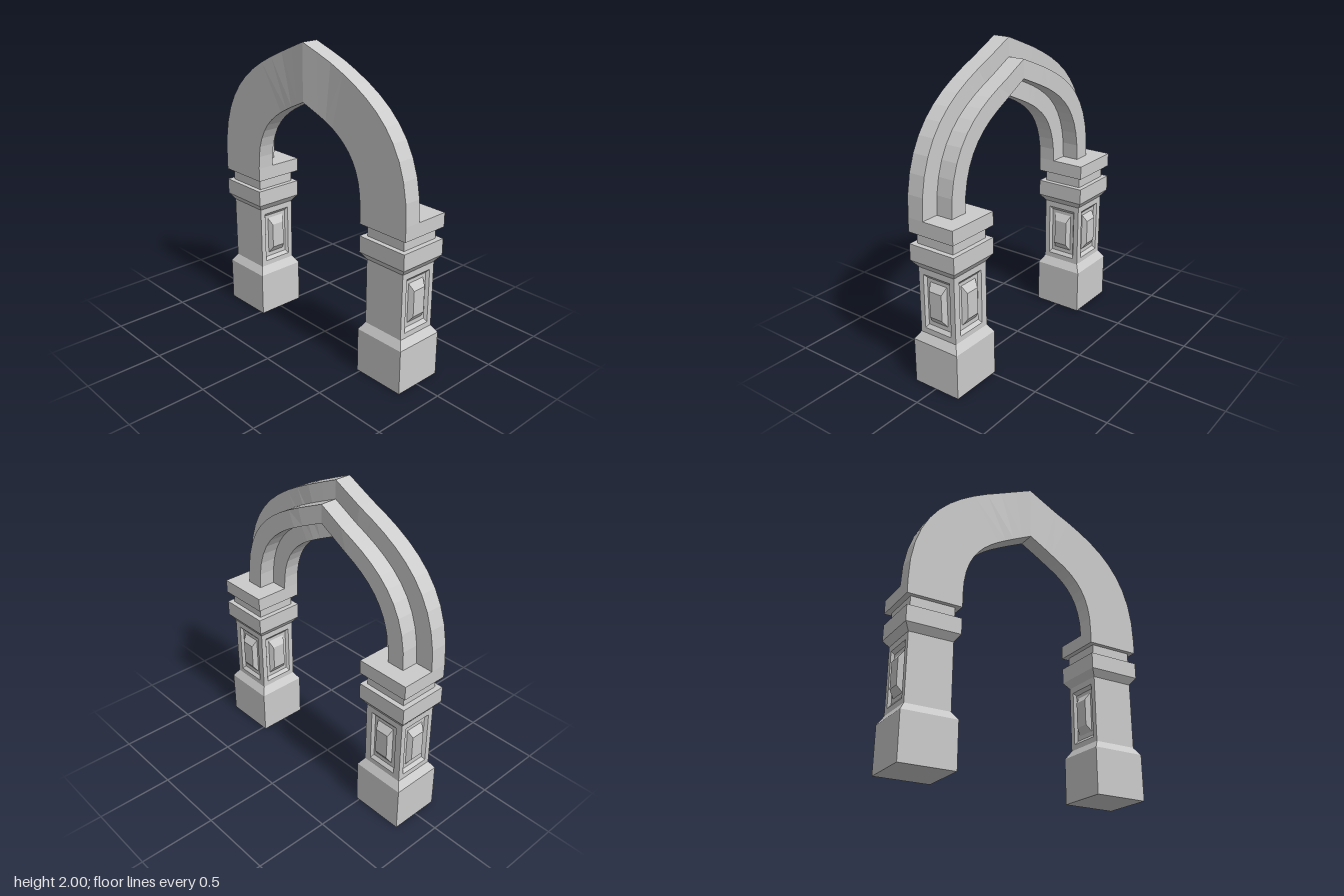
import * as THREE from 'three';

const stone = new THREE.MeshStandardMaterial({ color: 0xcccccc, flatShading: true });

// Skin a row of four-cornered rings (counter-clockwise about the travel direction)
function loft(rings, capStart, capEnd) {
  const pos = rings.flat(2), idx = [];
  for (let r = 0; r < rings.length - 1; r++) {
    for (let i = 0; i < 4; i++) {
      const a = r * 4 + i, b = r * 4 + (i + 1) % 4;
      idx.push(a, b, b + 4, a, b + 4, a + 4);
    }
  }
  const e = (rings.length - 1) * 4;
  if (capStart) idx.push(0, 2, 1, 0, 3, 2);
  if (capEnd) idx.push(e, e + 1, e + 2, e, e + 2, e + 3);
  const indexed = new THREE.BufferGeometry();
  indexed.setAttribute('position', new THREE.Float32BufferAttribute(pos, 3));
  indexed.setIndex(idx);
  const geo = indexed.toNonIndexed();
  geo.computeVertexNormals();
  return geo;
}

// Rectangle ring: half width, bottom, top, height along the travel axis
const rect = ([u, v0, v1, w]) => [[-u, v0, w], [u, v0, w], [u, v1, w], [-u, v1, w]];

function add(parent, name, geo, x = 0, y = 0, z = 0) {
  const mesh = new THREE.Mesh(geo, stone);
  mesh.name = name;
  mesh.position.set(x, y, z);
  parent.add(mesh);
  return mesh;
}

// Square block that tapers through [halfX, halfZ, y] levels
function taper(levels) {
  return loft(levels.map(([hx, hz, y]) => rect([hx, -hz, hz, y])), true, true).rotateX(-Math.PI / 2);
}

const HX = 0.145, HZ = 0.135;       // shaft half sizes
const BX = 0.178, BZ = 0.167;       // base and collar half sizes
const SHAFT_LOW = 0.345, SHAFT_TOP = 0.775;

// One shaft face: plain, or with a recess holding a bevelled raised block
function shaftFace(halfWidth, panelled) {
  const rings = [[halfWidth, SHAFT_LOW, SHAFT_TOP, 0]];
  if (panelled) {
    rings.push(
      [0.1, 0.38, 0.735, 0],
      [0.086, 0.402, 0.713, -0.018],
      [0.063, 0.43, 0.69, -0.018],
      [0.046, 0.475, 0.645, 0.014]);
  }
  return loft(rings.map(rect), false, true);
}

function createPillar(name) {
  const pillar = new THREE.Group();
  pillar.name = name;
  add(pillar, 'base', taper([[BX, BZ, 0], [BX, BZ, 0.295], [HX, HZ, SHAFT_LOW]]));

  // Front is plain; both sides and the back carry panels
  add(pillar, 'shaftFront', shaftFace(HX, false), 0, 0, HZ);
  add(pillar, 'shaftBackPanel', shaftFace(HX, true), 0, 0, -HZ).rotation.y = Math.PI;
  for (const s of [1, -1]) {
    add(pillar, s > 0 ? 'shaftLeftPanel' : 'shaftRightPanel', shaftFace(HZ, true), s * HX, 0, 0)
      .rotation.y = s * Math.PI / 2;
  }

  add(pillar, 'collar', taper([[HX, HZ, SHAFT_TOP], [BX, BZ, 0.82], [BX, BZ, 0.925]]));
  add(pillar, 'neck', new THREE.BoxGeometry(HX * 2, 0.075, HZ * 2), 0, 0.9625, 0);
  // Slab behind the front arch layer
  add(pillar, 'capSlab', new THREE.BoxGeometry(0.36, 0.09, 0.22), 0, 1.045, -0.057);
  return pillar;
}

// Half-arch edges, from the springing up to the pointed crown
const bezier = (...p) => new THREE.CubicBezierCurve(...p.map(([x, y]) => new THREE.Vector2(x, y)));
const intrados = bezier([0.475, 1.09], [0.475, 1.45], [0.25, 1.5275], [0, 1.64]);
const extrados = bezier([0.835, 1.09], [0.835, 1.68], [0.45, 1.82], [0, 2]);
const STEPS = 12;

// Arch layer between fractions f0 and f1 of the arch depth, from z back to z front
function archLayer(f0, f1, back, front, yStart) {
  const half = [];
  for (let i = -1; i <= STEPS; i++) {
    const t = Math.max(i, 0) / STEPS;
    const a = intrados.getPoint(t), b = extrados.getPoint(t);
    const p = a.clone().lerp(b, f0), q = a.clone().lerp(b, f1);
    if (i < 0) p.y = q.y = yStart;
    half.push([p, q]);
  }
  // The crown leans slightly forward
  const lean = x => 0.02 * Math.max(0, 1 - Math.abs(x) / 0.2);
  const ring = (s, [p, q]) => [
    [s * p.x, p.y, front + lean(p.x)], [s * q.x, q.y, front + lean(q.x)],
    [s * q.x, q.y, back + lean(q.x)], [s * p.x, p.y, back + lean(p.x)]];
  const rings = half.map(h => ring(1, h));
  rings.push(...half.slice(0, -1).reverse().map(h => ring(-1, h)));
  return loft(rings, true, true);
}

export function createModel() {
  const model = new THREE.Group();
  model.name = 'pointedArchway';

  for (const s of [1, -1]) {
    const pillar = createPillar(s > 0 ? 'leftPillar' : 'rightPillar');
    pillar.position.set(s * 0.655, 0, -0.008);
    model.add(pillar);
  }

  add(model, 'frontArch', archLayer(0, 1, 0.045, 0.157, 1.0));
  add(model, 'backArchRib', archLayer(1 / 3, 2 / 3, -0.067, 0.045, 1.05));
  return model;
}
